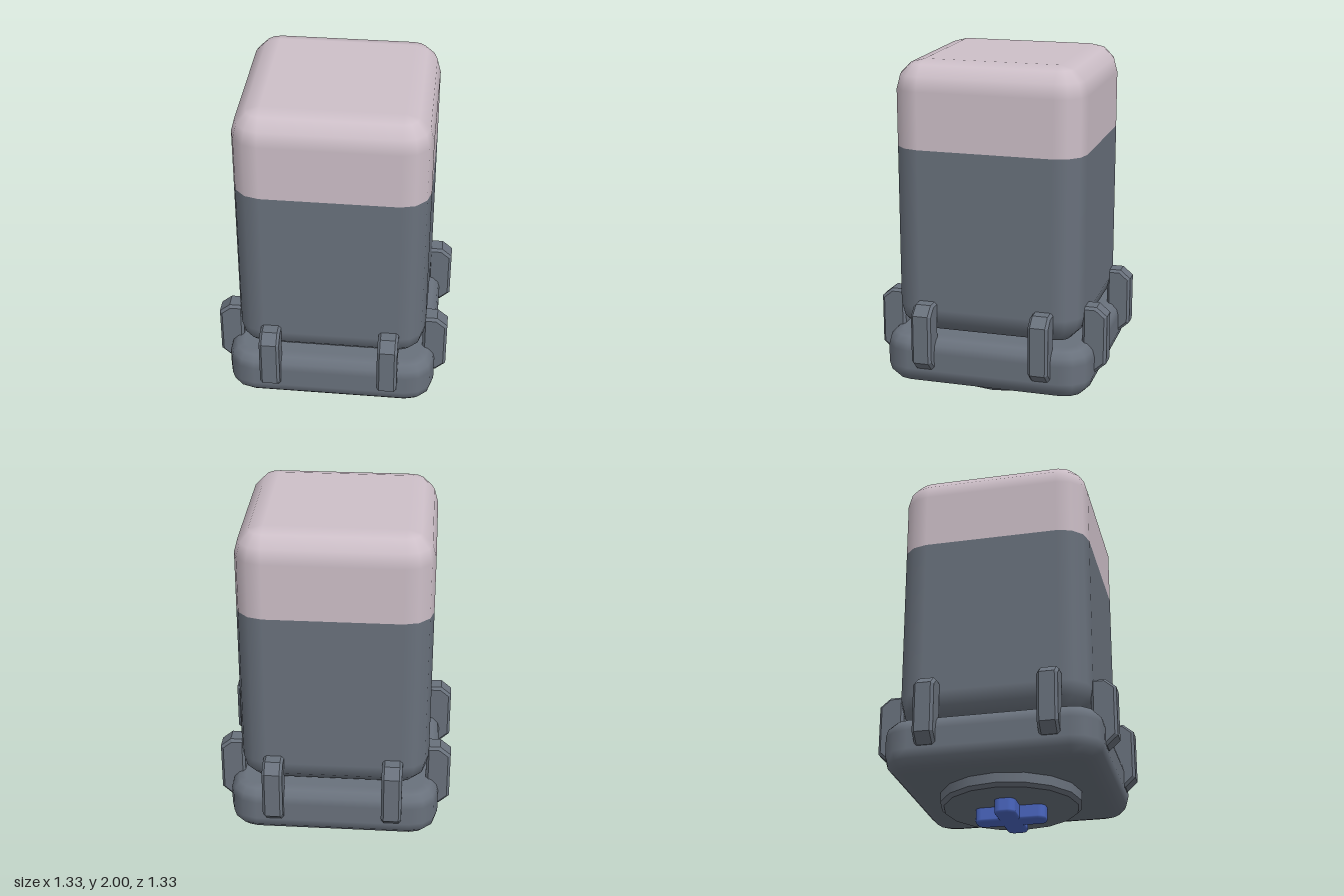
import * as THREE from 'three';

const STEPS = 3; // facets per rounded corner

// Quarter-round profile from the vertical wall towards the top (sign 1) or bottom (sign -1)
function quarter(y, r, sign) {
  const pts = [];
  for (let i = 0; i <= STEPS; i++) {
    const t = (i / STEPS) * Math.PI / 2;
    pts.push({ inset: r * (1 - Math.cos(t)), y: y - sign * r * (1 - Math.sin(t)), tilt: sign * t });
  }
  return sign > 0 ? pts : pts.reverse();
}

// Smooth rounded-rectangle loft; profile runs from bottom to top
function roundedLoft(hx, hz, r, profile, capBottom = true, capTop = true) {
  const pos = [], nor = [], idx = [];
  const n = 4 * (STEPS + 1);
  const addRing = (p, capNormal) => {
    for (let c = 0; c < 4; c++) {
      const sx = c === 0 || c === 3 ? 1 : -1, sz = c < 2 ? 1 : -1;
      for (let i = 0; i <= STEPS; i++) {
        const a = (c + i / STEPS) * Math.PI / 2;
        const cx = Math.cos(a), cz = Math.sin(a);
        pos.push(sx * (hx - r) + cx * (r - p.inset), p.y, sz * (hz - r) + cz * (r - p.inset));
        if (capNormal) nor.push(0, capNormal, 0);
        else nor.push(cx * Math.cos(p.tilt), Math.sin(p.tilt), cz * Math.cos(p.tilt));
      }
    }
  };
  profile.forEach((p) => addRing(p));
  for (let s = 0; s < profile.length - 1; s++) {
    for (let j = 0; j < n; j++) {
      const k = (j + 1) % n, a = s * n + j, b = s * n + k;
      idx.push(b, a, a + n, b, a + n, b + n);
    }
  }
  const cap = (p, sign) => {
    const base = pos.length / 3;
    addRing(p, sign);
    pos.push(0, p.y, 0);
    nor.push(0, sign, 0);
    for (let j = 0; j < n; j++) {
      const a = base + j, b = base + (j + 1) % n;
      if (sign > 0) idx.push(base + n, b, a);
      else idx.push(base + n, a, b);
    }
  };
  if (capBottom) cap(profile[0], -1);
  if (capTop) cap(profile[profile.length - 1], 1);
  const g = new THREE.BufferGeometry();
  g.setAttribute('position', new THREE.Float32BufferAttribute(pos, 3));
  g.setAttribute('normal', new THREE.Float32BufferAttribute(nor, 3));
  g.setIndex(idx);
  return g;
}

export function createModel() {
  const model = new THREE.Group();
  model.name = 'canister';
  const mat = (name, color) => {
    const m = new THREE.MeshStandardMaterial({ color });
    m.name = name;
    return m;
  };
  const grey = mat('slate grey', 0x69717c);
  const pink = mat('pale pink', 0xcdbfc8);
  const blue = mat('blue', 0x4a66c0);
  const add = (name, geometry, material, parent = model) => {
    const mesh = new THREE.Mesh(geometry, material);
    mesh.name = name;
    parent.add(mesh);
    return mesh;
  };

  // Tall rounded body, split into a grey lower part and a pale cap
  const split = { inset: 0, y: 1.52, tilt: 0 };
  add('body', roundedLoft(0.54, 0.54, 0.16, [...quarter(0.44, 0.16, -1), split], true, false), grey);
  add('cap', roundedLoft(0.54, 0.54, 0.16, [split, ...quarter(2, 0.16, 1)], false, true), pink);

  // Wide base collar
  add('base', roundedLoft(0.6, 0.6, 0.16, [...quarter(0.155, 0.1, -1), ...quarter(0.445, 0.085, 1)]), grey);

  // Round plate with a bevelled lower rim
  add('plate', new THREE.CylinderGeometry(0.4, 0.4, 0.08, 16), grey).position.y = 0.14;
  add('plateRim', new THREE.CylinderGeometry(0.4, 0.38, 0.02, 16), grey).position.y = 0.09;

  // Cross-shaped connector underneath
  const crossProfile = [...quarter(0.005, 0.015, -1), { inset: 0, y: 0.1, tilt: 0 }];
  crossProfile.forEach((p) => { p.y = Math.max(0, p.y - 0.005); });
  add('connectorBarAcross', roundedLoft(0.2, 0.06, 0.04, crossProfile), blue);
  add('connectorBarDeep', roundedLoft(0.06, 0.2, 0.04, crossProfile), blue);

  // Eight clips, two per side, with chamfered outer corners
  const outline = new THREE.Shape([
    [0.525, 0.265], [0.605, 0.265], [0.665, 0.32], [0.665, 0.6], [0.605, 0.65], [0.525, 0.65],
  ].map(([x, y]) => new THREE.Vector2(x, y)));
  const bevel = 0.015, width = 0.115;
  const clipGeo = new THREE.ExtrudeGeometry(outline, {
    depth: width - 2 * bevel, bevelEnabled: true, bevelSegments: 1,
    bevelSize: bevel, bevelThickness: bevel, bevelOffset: -bevel,
  });
  clipGeo.translate(0, 0, -(width / 2 - bevel));
  for (let side = 0; side < 4; side++) {
    const pair = new THREE.Group();
    pair.name = 'clipPair' + (side + 1);
    pair.rotation.y = side * Math.PI / 2;
    for (const z of [-0.337, 0.337]) add('clip', clipGeo, grey, pair).position.z = z;
    model.add(pair);
  }
  return model;
}
